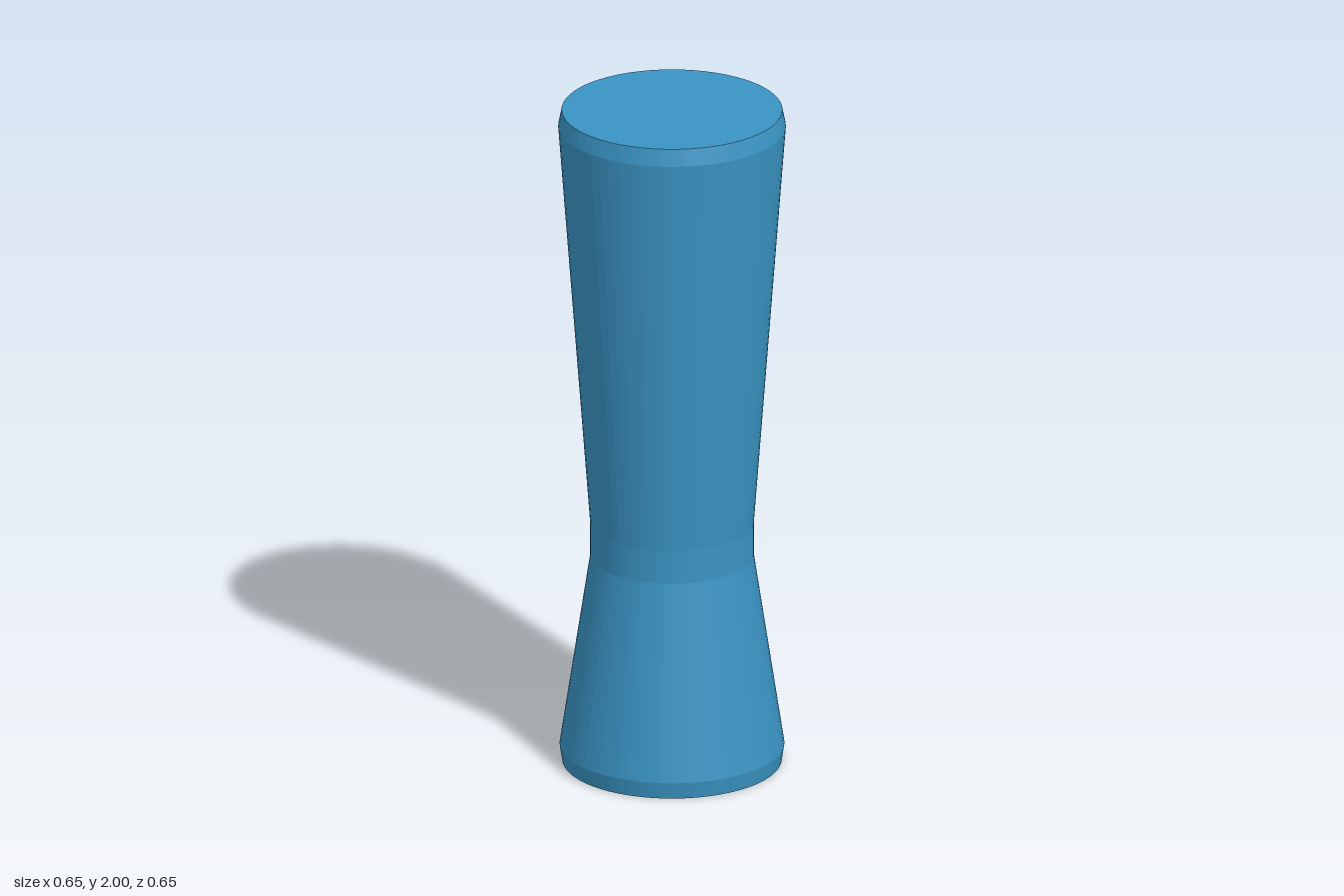
import * as THREE from 'three';

export function createModel() {
  const group = new THREE.Group();
  group.name = 'waistedPillar';

  // Profile from the base centre, up the wall, to the top centre: [radius, height]
  const profile = [
    [0, 0], [0.315, 0],       // base
    [0.323, 0.05],            // lower bevel
    [0.235, 0.63],            // flared foot
    [0.235, 0.73],            // straight waist
    [0.327, 1.95],            // widening shaft
    [0.317, 2], [0, 2],       // upper bevel and top
  ].map(([r, y]) => new THREE.Vector2(r, y));

  const material = new THREE.MeshStandardMaterial({ color: 0x3a94c4, flatShading: true });
  const body = new THREE.Mesh(new THREE.LatheGeometry(profile, 64), material);
  body.name = 'body';
  group.add(body);

  return group;
}
